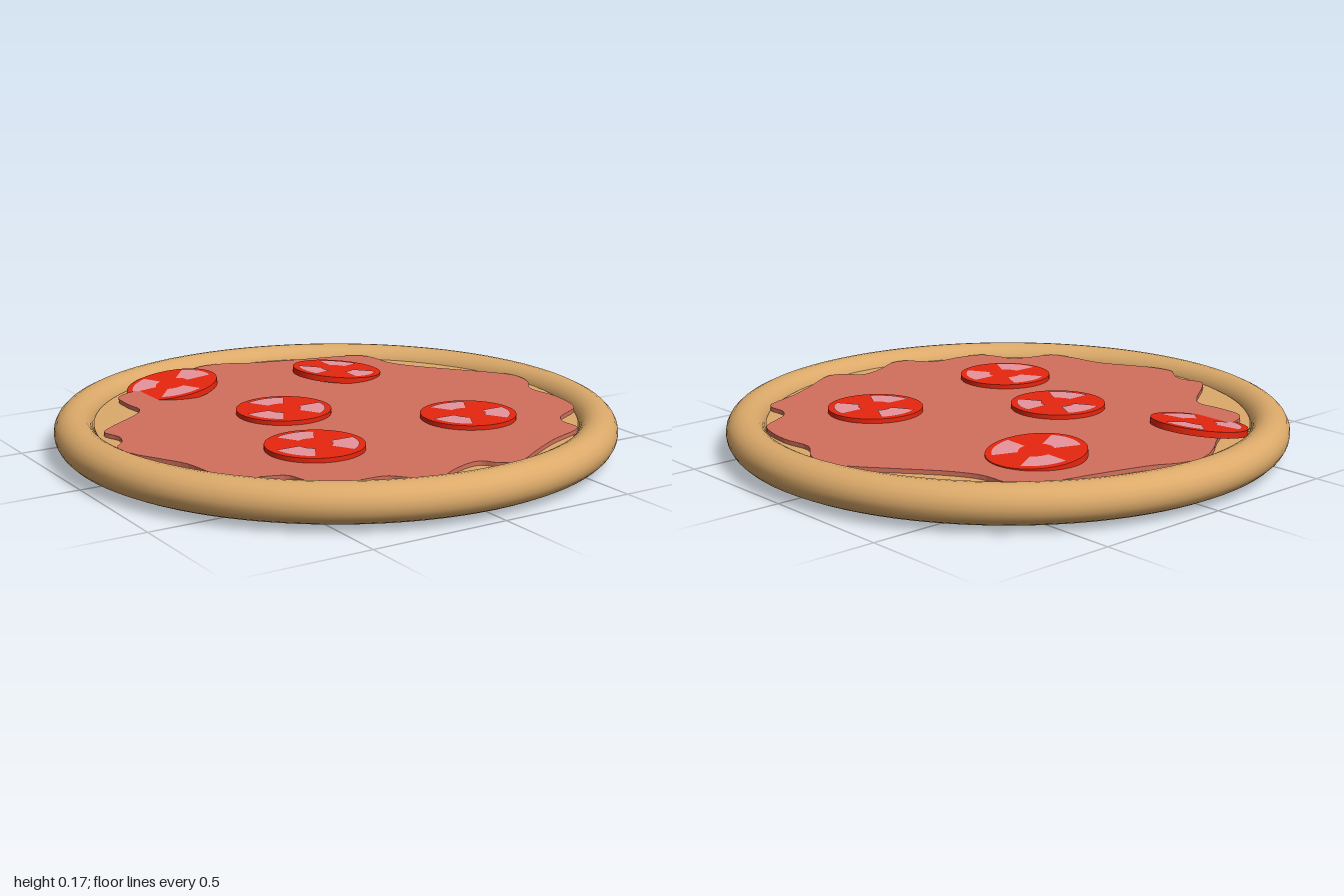
import * as THREE from 'three';

const mat = (color) => new THREE.MeshStandardMaterial({ color });

function part(name, geometry, material, parent) {
  const mesh = new THREE.Mesh(geometry, material);
  mesh.name = name;
  parent.add(mesh);
  return mesh;
}

// Wavy outline of the sauce, x and z pairs in hundredths, clockwise from the back
const SAUCE = [
  -9, -85, 1, -84, 9, -80, 30, -74, 43, -71, 52, -68, 56, -63, 57, -51, 62, -41, 73, -27,
  81, -17, 86, -9, 86, -1, 84, 4, 79, 12, 80, 24, 78, 36, 75, 42, 63, 49, 60, 54,
  60, 61, 58, 64, 43, 70, 30, 77, 20, 83, 16, 84, 11, 82, 7, 77, 2, 77, -6, 80,
  -14, 84, -20, 83, -24, 78, -28, 74, -40, 73, -49, 70, -52, 64, -54, 57, -61, 54, -70, 51,
  -73, 42, -75, 29, -80, 19, -85, 9, -86, 0, -82, -5, -80, -11, -82, -19, -77, -24, -59, -38,
  -59, -48, -58, -58, -54, -62, -45, -65, -27, -75, -20, -80,
];

function sauceGeometry() {
  const points = [];
  for (let i = 0; i < SAUCE.length; i += 2) {
    points.push(new THREE.Vector3(SAUCE[i] / 100, -SAUCE[i + 1] / 100, 0));
  }
  const curve = new THREE.CatmullRomCurve3(points, true, 'centripetal');
  const shape = new THREE.Shape(curve.getPoints(220).map((p) => new THREE.Vector2(p.x, p.y)));
  return new THREE.ExtrudeGeometry(shape, { depth: 0.02, bevelEnabled: false })
    .rotateX(-Math.PI / 2);
}

// One round slice with three pale sectors; its top sits at the group's origin
function makeSlice(red, pink) {
  const slice = new THREE.Group();
  part('sliceDisc', new THREE.CylinderGeometry(0.17, 0.17, 0.022, 48).translate(0, -0.011, 0), red, slice);
  const width = THREE.MathUtils.degToRad(60);
  for (let i = 0; i < 3; i++) {
    const start = Math.PI / 2 + (i * Math.PI * 2) / 3 - width / 2;
    const sector = new THREE.RingGeometry(0.06, 0.148, 14, 1, start, width);
    sector.rotateX(-Math.PI / 2).translate(0, 0.0015, 0);
    part('paleSector', sector, pink, slice);
  }
  return slice;
}

export function createModel() {
  const model = new THREE.Group();
  model.name = 'pizza';
  const dough = mat(0xdcaa6a);
  const red = mat(0xe8260e);
  const pink = mat(0xe8949c);

  // Dough disc and raised rim
  part('base', new THREE.CylinderGeometry(0.86, 0.86, 0.11, 96).translate(0, 0.055, 0), dough, model);
  const crust = new THREE.TorusGeometry(0.93, 0.07, 20, 96).rotateX(Math.PI / 2);
  crust.scale(1, 0.965, 1).translate(0, 0.0875, 0);
  part('crust', crust, dough, model);

  // Sauce sheet
  part('sauce', sauceGeometry(), mat(0xd2705c), model).position.y = 0.105;

  // Toppings: x, top height, z, turn in degrees, sideways tilt
  const slices = [
    [-0.17, 0.141, -0.08, 0, 0],
    [-0.31, 0.141, 0.36, 0, 0],
    [0.35, 0.141, 0.32, 0, 0],
    [0.3, 0.143, -0.47, -33, -0.085],
    [-0.35, 0.143, -0.6, 48, 0.15],
  ];
  slices.forEach(([x, y, z, turn, tilt], i) => {
    const slice = makeSlice(red, pink);
    slice.name = `toppingSlice${i + 1}`;
    slice.position.set(x, y, z);
    slice.rotation.set(0, THREE.MathUtils.degToRad(turn), tilt, 'ZYX');
    model.add(slice);
  });

  return model;
}
